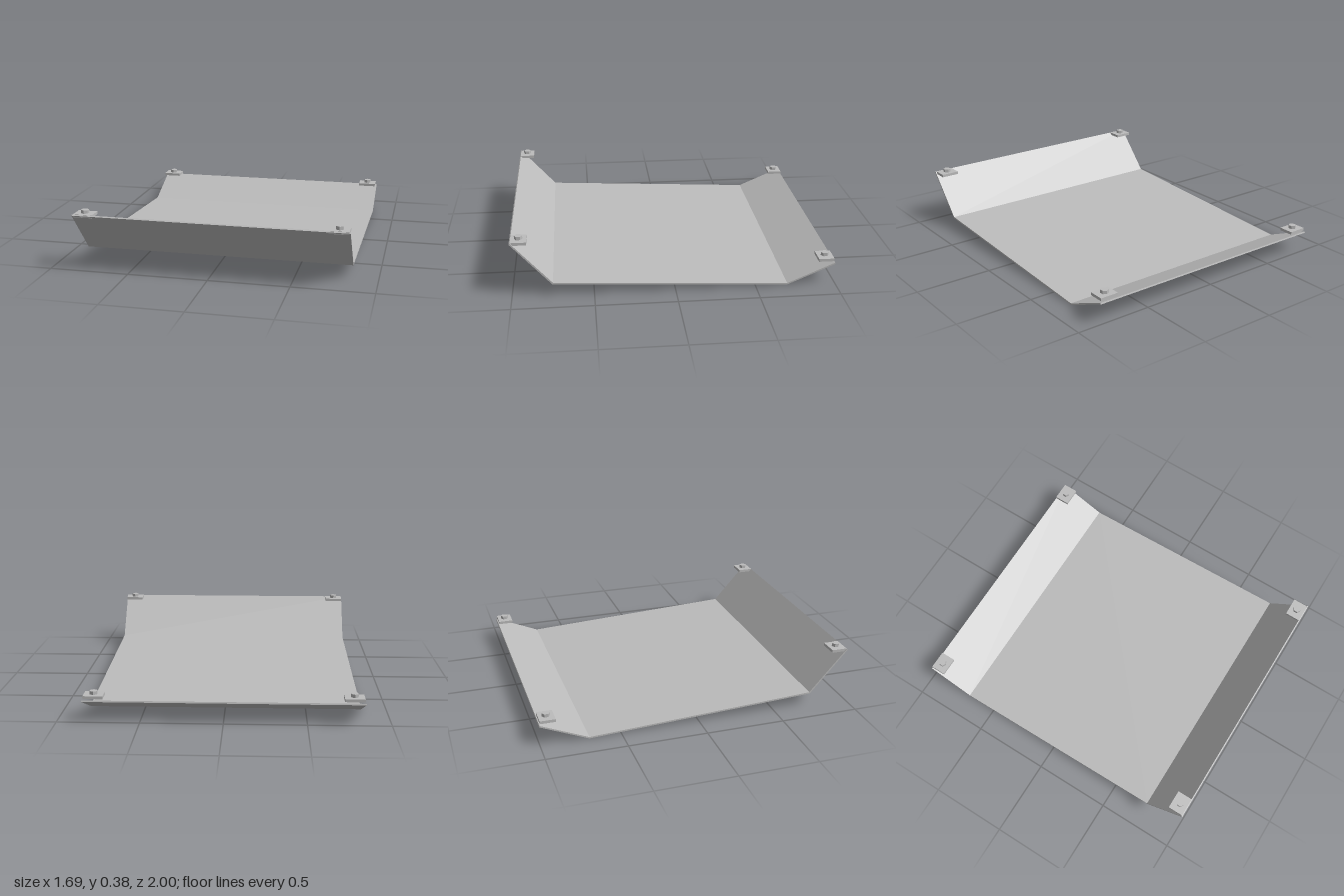
import * as THREE from 'three';

export function createModel() {
  const model = new THREE.Group();
  const metal = new THREE.MeshStandardMaterial({ color: 0xbcbcbc });
  metal.name = 'grey metal';

  const add = (parent, name, geometry, x = 0, y = 0, z = 0) => {
    const mesh = new THREE.Mesh(geometry, metal);
    mesh.name = name;
    mesh.position.set(x, y, z);
    parent.add(mesh);
  };

  // Bent sheet: side profile as (z, y), lower face then upper face
  const width = 1.69;
  const profile = [
    [1, 0.35], [0.754, 0.075], [-0.7, 0], [-1, 0.128],
    [-0.997, 0.137], [-0.7, 0.01], [0.749, 0.085], [0.993, 0.356],
  ].map(([z, y]) => new THREE.Vector2(z, y));
  const sheet = new THREE.ExtrudeGeometry(new THREE.Shape(profile), { depth: width, bevelEnabled: false });
  sheet.translate(0, 0, -width / 2).rotateY(-Math.PI / 2);
  add(model, 'bentPlate', sheet);

  // Mounting pads with hex bolts at the four corners
  const pad = new THREE.BoxGeometry(0.12, 0.018, 0.097);
  const bolt = new THREE.CylinderGeometry(0.025, 0.025, 0.022, 6).toNonIndexed();
  bolt.computeVertexNormals();
  for (const [end, y, z] of [['front', 0.348, 0.945], ['back', 0.153, -0.945]]) {
    for (const side of [-1, 1]) {
      const mount = new THREE.Group();
      mount.name = end + (side > 0 ? 'Left' : 'Right') + 'Mount';
      mount.position.set(side * 0.778, y, z);
      add(mount, 'mountingPad', pad);
      add(mount, 'hexBolt', bolt, 0, 0.019, 0);
      model.add(mount);
    }
  }
  return model;
}
